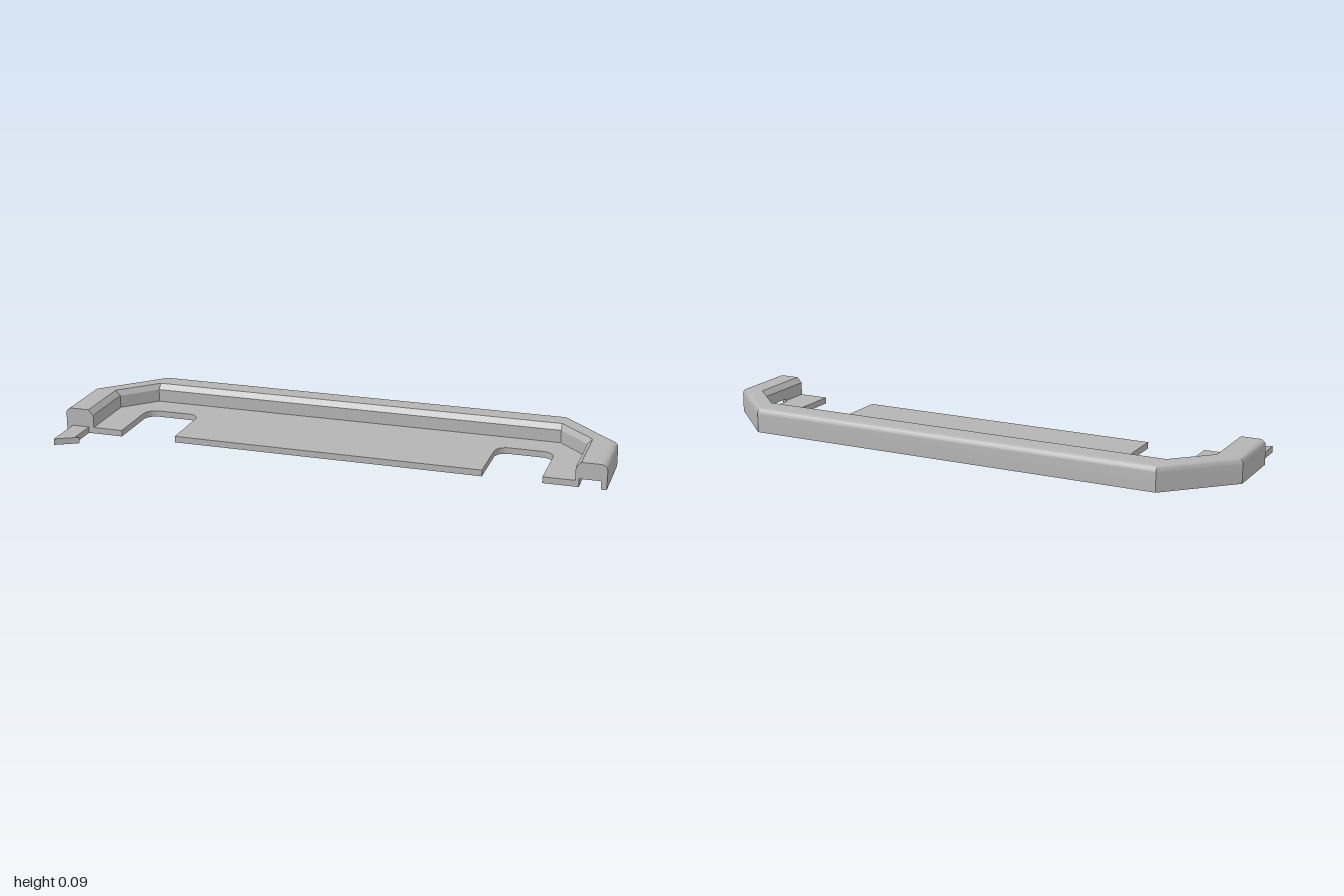
import * as THREE from 'three';
import { toCreasedNormals } from 'three/addons/utils/BufferGeometryUtils.js';

const FRONT = 0.152, BACK = -0.308, SIDE_Z = -0.088, CORNER_X = 0.78;
const LIP = 0.108, THICK = 0.023;

// Upper part of the rail section as [inset from outside, height]: bevelled lip, rounded outer edge
const upper = [[LIP, 0.07], [0.09, 0.09]];
for (let i = 0; i <= 6; i++) {
  const a = Math.PI / 2 * (1 + i / 6), r = 0.022;
  upper.push([r + r * Math.cos(a), 0.09 - r + r * Math.sin(a)]);
}
const solid = [[0, 0], [LIP, 0], ...upper];
const slotted = [[0, 0], [0.02, 0], [0.02, 0.03], [0.095, 0.03], [0.095, 0], [LIP, 0], ...upper];
const windowed = [[0, 0], [0.02, 0], [0.02, 0.03], [LIP, 0.03], ...upper];

// Sweeps a section along stations [x, z, inset direction x, inset direction z], with end caps
function sweep(section, stations) {
  const n = section.length, pos = [], idx = [];
  for (const [x, z, dx, dz] of stations)
    for (const [d, y] of section) pos.push(x + dx * d, y, z + dz * d);
  for (let s = 0; s < stations.length - 1; s++)
    for (let i = 0; i < n; i++) {
      const j = (i + 1) % n, a = s * n + i, b = s * n + j;
      idx.push(a, a + n, b, b, a + n, b + n);
    }
  const end = (stations.length - 1) * n;
  const caps = THREE.ShapeUtils.triangulateShape(section.map(p => new THREE.Vector2(...p)), []);
  for (const [a, b, c] of caps) idx.push(a, b, c, end + a, end + c, end + b);
  const g = new THREE.BufferGeometry();
  g.setAttribute('position', new THREE.Float32BufferAttribute(pos, 3));
  g.setIndex(idx);
  return toCreasedNormals(g, 0.5);
}

// Extrudes a plan shape (drawn as x, -z) upwards from the ground
function slab(shape, height) {
  const g = new THREE.ExtrudeGeometry(shape, { depth: height, bevelEnabled: false, curveSegments: 8 });
  return g.rotateX(-Math.PI / 2);
}

export function createModel() {
  const group = new THREE.Group();
  const grey = new THREE.MeshStandardMaterial({ color: 0xb4b4b4 });
  grey.name = 'grey plastic';
  const add = (name, geometry) => {
    const mesh = new THREE.Mesh(geometry, grey);
    mesh.name = name;
    group.add(mesh);
  };

  // Raised rail around the back and both sides
  const slotEnd = -0.03, windowEnd = 0.04;
  add('rail', sweep(solid, [
    [-1, FRONT, 1, 0], [-1, SIDE_Z, 1, 0], [-CORNER_X, BACK, 0, 1],
    [CORNER_X, BACK, 0, 1], [1, SIDE_Z, -1, 0], [1, slotEnd, -1, 0],
  ]));
  // Left arm: catch window, then the slot that receives a tab
  add('catchWindow', sweep(windowed, [[1, slotEnd, -1, 0], [1, windowEnd, -1, 0]]));
  add('tabSlot', sweep(slotted, [[1, windowEnd, -1, 0], [1, FRONT, -1, 0]]));

  // Floor plate with two rounded notches in its front edge
  const w = 1 - LIP, nIn = 0.57, nOut = 0.78, nTop = 0.092, r = 0.045;
  const p = new THREE.Shape();
  p.moveTo(-w, -FRONT);
  for (const [a, b] of [[-nOut, -nIn], [nIn, nOut]]) {
    p.lineTo(a, -FRONT);
    p.lineTo(a, nTop - r);
    p.absarc(a + r, nTop - r, r, Math.PI, Math.PI / 2, true);
    p.lineTo(b - r, nTop);
    p.absarc(b - r, nTop - r, r, Math.PI / 2, 0, true);
    p.lineTo(b, -FRONT);
  }
  p.lineTo(w, -FRONT);
  p.lineTo(w, -windowEnd);
  p.lineTo(w - 0.007, -windowEnd);
  p.lineTo(w - 0.007, -slotEnd);
  p.lineTo(w, -slotEnd);
  p.lineTo(w, -SIDE_Z);
  p.lineTo(CORNER_X, -BACK - LIP);
  p.lineTo(-CORNER_X, -BACK - LIP);
  p.lineTo(-w, -SIDE_Z);
  add('floorPlate', slab(p, THICK));

  // Barbed tab on the right arm
  const tab = new THREE.Shape([
    [-0.977, -FRONT], [-0.912, -FRONT], [-0.912, -0.268], [-0.897, -0.264], [-0.977, -0.308],
  ].map(q => new THREE.Vector2(...q)));
  add('snapTab', slab(tab, THICK));
  return group;
}
